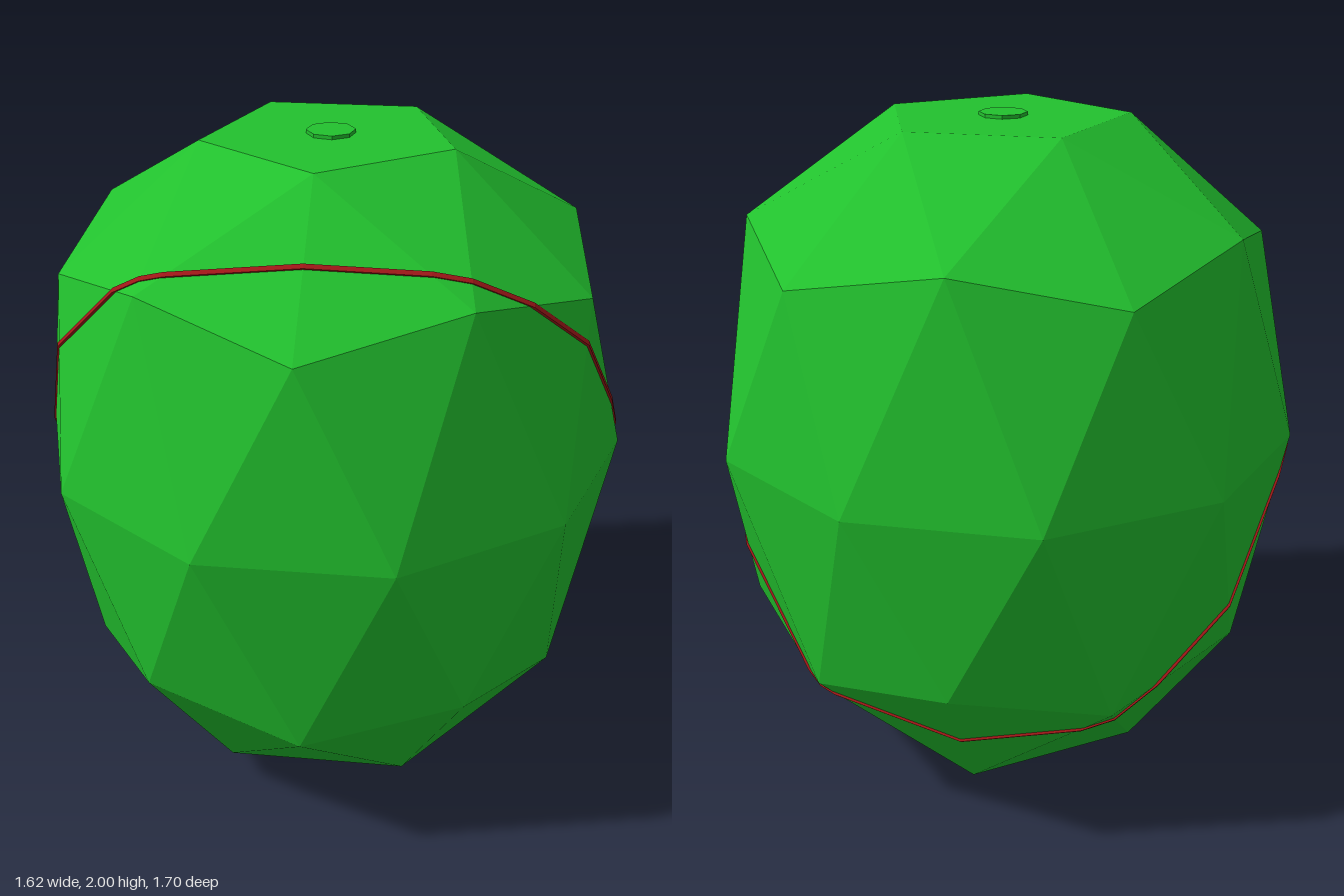
import * as THREE from 'three';

const CENTRE = new THREE.Vector3(0, 1.1, 0);

// Vertex on a horizontal ring, angle in degrees from +x towards +z
function at(r, y, deg) {
  const a = THREE.MathUtils.degToRad(deg);
  return new THREE.Vector3(r * Math.cos(a), y, r * Math.sin(a));
}

// Faceted shell: list of triangles, all turned to face outwards
function bodyTriangles() {
  const tris = [];
  const add = (a, b, c) => {
    const n = b.clone().sub(a).cross(c.clone().sub(a));
    const out = a.clone().add(b).add(c).divideScalar(3).sub(CENTRE);
    tris.push(n.dot(out) > 0 ? [a, b, c] : [a, c, b]);
  };
  const w = (arr, i) => arr[(i + arr.length) % arr.length];
  const ring = (n, f) => Array.from({ length: n }, (_, i) => f(i));

  const equator = ring(10, j => at(0.85, 1.1, 18 + 36 * j));
  const upper = ring(10, j => (j % 2 ? at(0.72, 1.73, 36 * j) : at(0.76, 1.64, 36 * j)));
  const lower = ring(10, j => (j % 2 ? at(0.76, 0.56, 36 * j) : at(0.72, 0.46, 36 * j)));
  const top = ring(5, k => at(0.36, 1.99, 72 * k));
  const base = ring(5, k => at(0.45, 0.11, 36 + 72 * k));

  // Two zigzag belts around the middle
  for (const belt of [upper, lower]) {
    for (let j = 0; j < 10; j++) {
      add(belt[j], w(belt, j + 1), equator[j]);
      add(belt[j], w(equator, j - 1), equator[j]);
    }
  }
  // Shoulder with flat top, and pointed underside
  const caps = [
    [top, upper, 0, new THREE.Vector3(0, 1.99, 0)],
    [base, lower, 1, new THREE.Vector3(0, 0, 0)],
  ];
  for (const [cap, belt, s, pole] of caps) {
    for (let k = 0; k < 5; k++) {
      const j = 2 * k + s;
      const next = w(cap, k + 1);
      add(cap[k], next, pole);
      add(cap[k], next, w(belt, j + 1));
      add(cap[k], w(belt, j), w(belt, j + 1));
      add(next, w(belt, j + 1), w(belt, j + 2));
    }
  }
  return tris;
}

// Closed outline where a plane cuts the shell, ordered around the plane normal
function section(tris, plane) {
  const u = new THREE.Vector3(0, 1, 0).cross(plane.normal).normalize();
  const v = plane.normal.clone().cross(u);
  const hits = [];
  for (const t of tris) {
    for (let i = 0; i < 3; i++) {
      const a = t[i], b = t[(i + 1) % 3];
      const da = plane.distanceToPoint(a), db = plane.distanceToPoint(b);
      if (da * db >= 0) continue;
      const p = a.clone().lerp(b, da / (da - db));
      if (hits.every(h => h.p.distanceTo(p) > 0.004)) {
        const d = p.clone().sub(CENTRE);
        hits.push({ p, angle: Math.atan2(d.dot(v), d.dot(u)) });
      }
    }
  }
  return hits.sort((a, b) => a.angle - b.angle).map(h => h.p);
}

// Thin rectangular strip following a closed outline
function bandGeometry(points, normal, width, depth) {
  const pos = [], index = [], n = points.length;
  for (const p of points) {
    const out = p.clone().sub(CENTRE).projectOnPlane(normal).normalize();
    for (const [s, r] of [[-1, -1], [-1, 1], [1, 1], [1, -1]]) {
      const q = p.clone().addScaledVector(normal, s * width / 2).addScaledVector(out, r * depth);
      pos.push(q.x, q.y, q.z);
    }
  }
  for (let i = 0; i < n; i++) {
    for (let c = 0; c < 4; c++) {
      const a = i * 4 + c, b = i * 4 + (c + 1) % 4;
      const d = ((i + 1) % n) * 4 + c, e = ((i + 1) % n) * 4 + (c + 1) % 4;
      index.push(a, d, b, b, d, e);
    }
  }
  const g = new THREE.BufferGeometry();
  g.setAttribute('position', new THREE.Float32BufferAttribute(pos, 3));
  g.setIndex(index);
  g.computeVertexNormals();
  return g;
}

export function createModel() {
  const model = new THREE.Group();
  const green = new THREE.MeshStandardMaterial({ color: 0x22c12e, flatShading: true });
  const red = new THREE.MeshStandardMaterial({ color: 0xa01818, flatShading: true, side: THREE.DoubleSide });
  const part = (name, geometry, material) => {
    const mesh = new THREE.Mesh(geometry, material);
    mesh.name = name;
    model.add(mesh);
    return mesh;
  };

  // Faceted body
  const tris = bodyTriangles();
  const shell = new THREE.BufferGeometry().setFromPoints(tris.flat());
  shell.computeVertexNormals();
  part('body', shell, green);

  // Tilted band hugging the body
  const normal = new THREE.Vector3(0.606, 0.619, -0.5).normalize();
  const plane = new THREE.Plane(normal, -0.689);
  part('band', bandGeometry(section(tris, plane), normal, 0.014, 0.005), red);

  // Small eight-sided button on the flat top
  part('topButton', new THREE.CylinderGeometry(0.068, 0.068, 0.02, 8), green).position.y = 1.99;

  return model;
}
